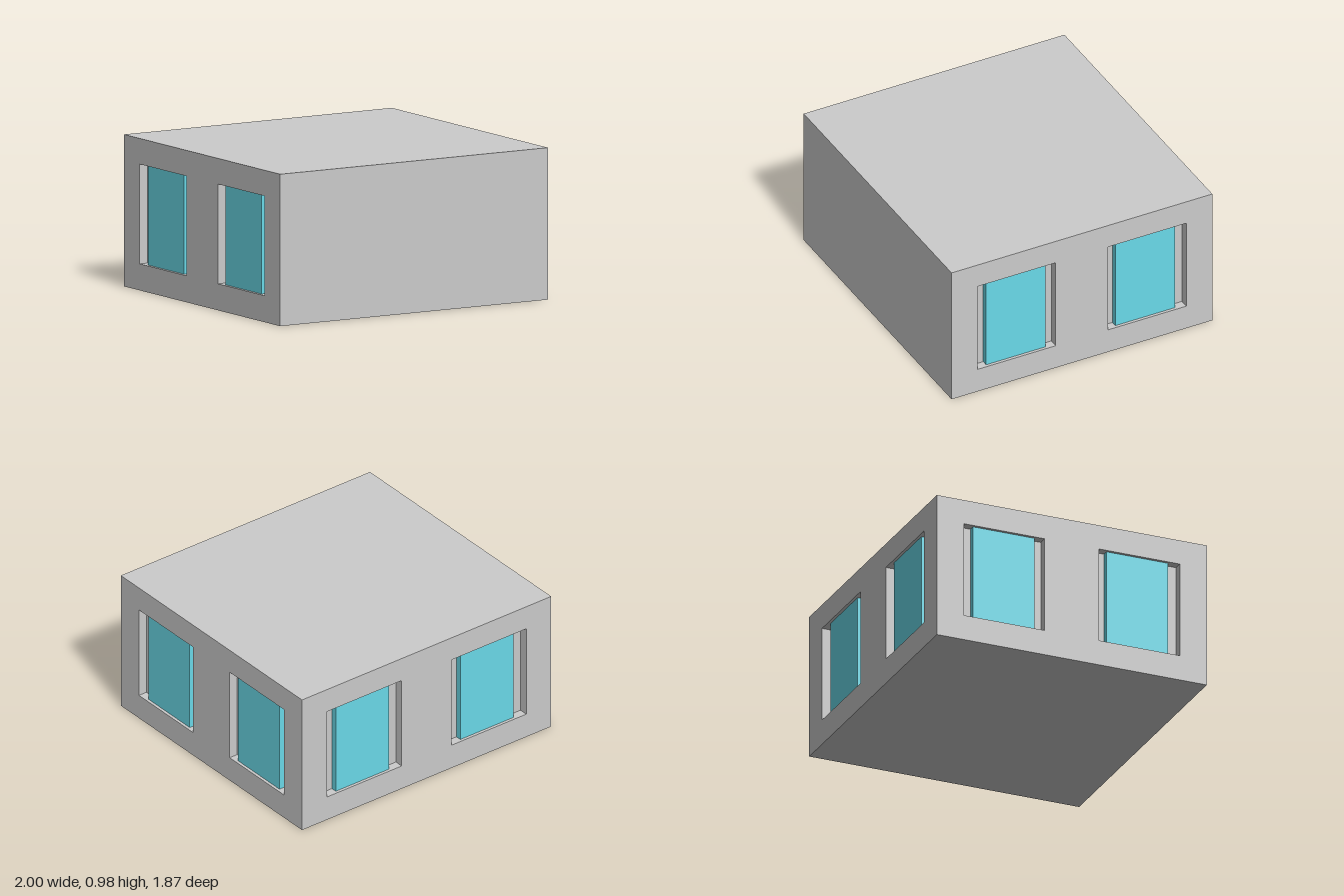
import * as THREE from 'three';

const W = 2, H = 0.975, D = 1.87;     // overall block
const SILL = 0.17, HEAD = 0.81;       // window opening heights
const RECESS = 0.06, PANE = 0.04;     // niche depth, pane thickness
const PANE_W = 0.427;

const grey = new THREE.MeshStandardMaterial({ color: 0xcccccc, flatShading: true });
const blue = new THREE.MeshStandardMaterial({ color: 0x6adae9, flatShading: true });

function mesh(name, geometry, material) {
  const m = new THREE.Mesh(geometry, material);
  m.name = name;
  return m;
}

// Wall facing +z with two window niches, each holding a raised pane
function windowWall(name, width, inner, outer, paneX) {
  const wall = new THREE.Group();
  wall.name = name;
  const shape = new THREE.Shape([
    new THREE.Vector2(-width / 2, 0), new THREE.Vector2(width / 2, 0),
    new THREE.Vector2(width / 2, H), new THREE.Vector2(-width / 2, H),
  ]);
  const holeH = HEAD - SILL, midY = (HEAD + SILL) / 2;

  for (const side of [-1, 1]) {
    const a = side * inner, b = side * outer;
    shape.holes.push(new THREE.Path([
      new THREE.Vector2(a, SILL), new THREE.Vector2(a, HEAD),
      new THREE.Vector2(b, HEAD), new THREE.Vector2(b, SILL),
    ]));

    // Niche: a box turned inside out, without its outer face
    const box = new THREE.BoxGeometry(outer - inner, holeH, RECESS);
    const index = Array.from(box.index.array);
    index.splice(24, 6);
    box.setIndex(index.reverse());
    box.clearGroups();
    box.attributes.normal.array.forEach((n, i, arr) => { arr[i] = -n; });
    const niche = mesh('windowNiche', box, grey);
    niche.position.set((a + b) / 2, midY, -RECESS / 2);

    const pane = mesh('windowPane', new THREE.BoxGeometry(PANE_W, holeH, PANE), blue);
    pane.position.set(side * paneX, midY, -RECESS + PANE / 2);
    wall.add(niche, pane);
  }
  wall.add(mesh('wallFace', new THREE.ShapeGeometry(shape), grey));
  return wall;
}

export function createModel() {
  const model = new THREE.Group();
  model.name = 'building';

  // Roof, floor and plain front: the top, bottom and +z faces of a box
  const box = new THREE.BoxGeometry(W, H, D);
  box.setIndex(Array.from(box.index.array).slice(12, 30));
  box.clearGroups();
  const block = mesh('roofFloorAndFront', box, grey);
  block.position.y = H / 2;
  model.add(block);

  // Back wall
  const back = windowWall('backWall', W, 0.2, 0.8, 0.5);
  back.position.z = -D / 2;
  back.rotation.y = Math.PI;
  model.add(back);

  // Left and right walls
  for (const side of [-1, 1]) {
    const wall = windowWall(side > 0 ? 'leftWall' : 'rightWall', D, 0.188, 0.748, 0.463);
    wall.position.x = side * W / 2;
    wall.rotation.y = side * Math.PI / 2;
    model.add(wall);
  }
  return model;
}
